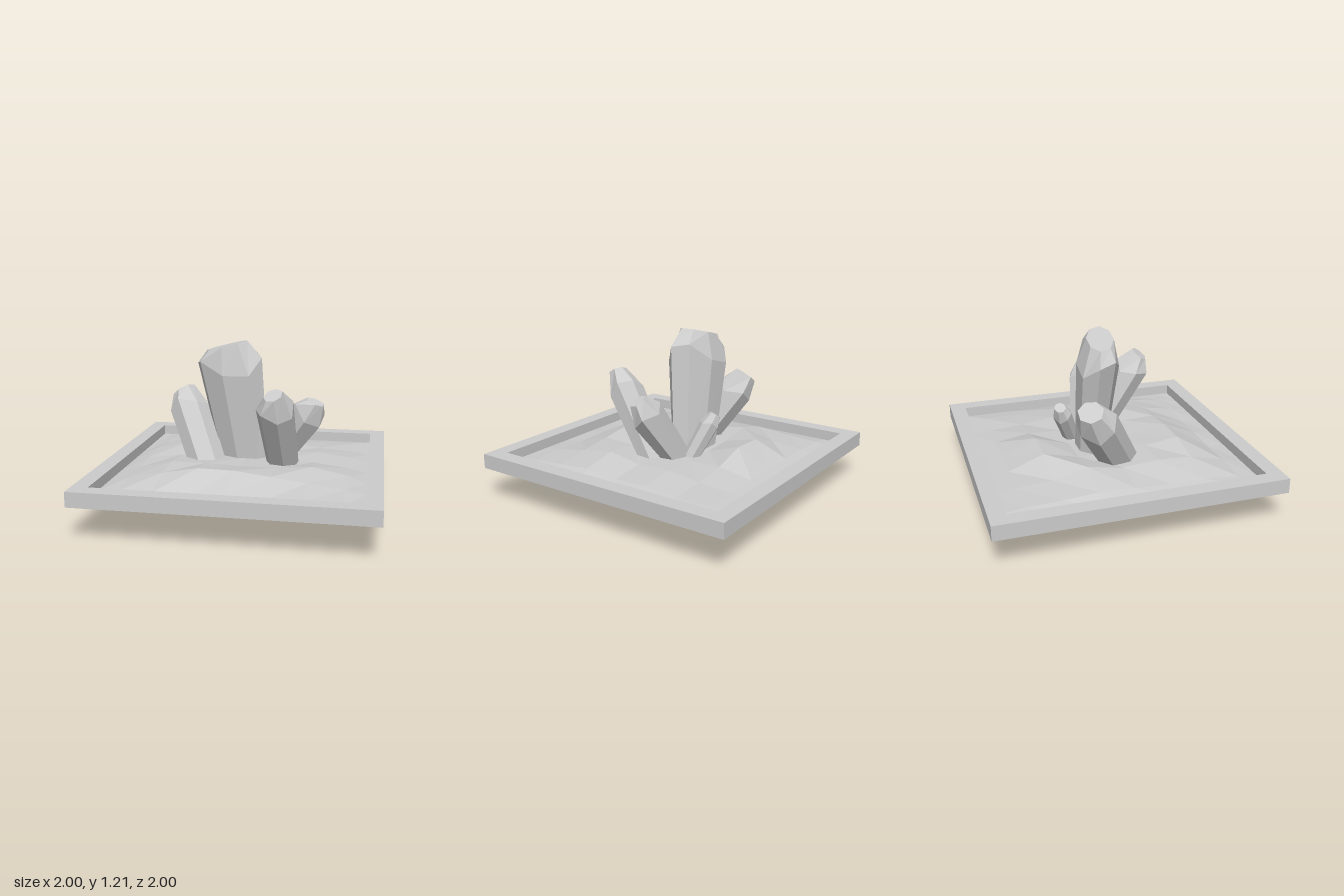
import * as THREE from 'three';

const flat = new THREE.MeshStandardMaterial({ color: 0xcccccc, flatShading: true });
const thin = new THREE.MeshStandardMaterial({ color: 0xcccccc, flatShading: true, side: THREE.DoubleSide });

const OUTER = 1, INNER = 0.885, TOP = 0.345, BOTTOM = 0.24;

function part(name, geometry, material = flat) {
  const mesh = new THREE.Mesh(geometry, material);
  mesh.name = name;
  return mesh;
}

// Four upright walls around a square
function squareWall(name, half, y0, y1) {
  const r = half * Math.SQRT2;
  const g = new THREE.CylinderGeometry(r, r, y1 - y0, 4, 1, true);
  g.rotateY(Math.PI / 4).translate(0, (y0 + y1) / 2, 0);
  return part(name, g, thin);
}

// Hollow frame, open underneath
function frame() {
  const group = new THREE.Group();
  group.name = 'frame';
  const square = (Type, s) => new Type([[-s, -s], [s, -s], [s, s], [-s, s]].map(p => new THREE.Vector2(...p)));
  const shape = square(THREE.Shape, OUTER);
  shape.holes.push(square(THREE.Path, INNER));
  const rim = new THREE.ShapeGeometry(shape).rotateX(-Math.PI / 2).translate(0, TOP, 0);
  group.add(
    part('frameTop', rim, thin),
    squareWall('frameOuterWall', OUTER, BOTTOM, TOP),
    squareWall('frameInnerWall', INNER, BOTTOM + 0.01, TOP),
  );
  return group;
}

// Faceted ground; heights in hundredths at every 0.25 units, rows from back to front
const HEIGHTS = [
  [29, 30, 30, 30, 30, 29, 29],
  [30, 32, 40, 41, 34, 31, 29],
  [32, 38, 34, 33, 33, 34, 31],
  [31, 34, 34, 34, 34, 33, 30],
  [30, 36, 36, 35, 35, 37, 32],
  [30, 35, 39.5, 39, 36, 33, 30],
  [28, 29, 28, 29, 28, 29, 28],
];

function ground() {
  const g = new THREE.PlaneGeometry(2, 2, 8, 8).rotateX(-Math.PI / 2);
  const p = g.attributes.position;
  for (let i = 0; i < p.count; i++) {
    const col = i % 9, row = Math.floor(i / 9);
    const height = HEIGHTS[row - 1]?.[col - 1] ?? 27;
    p.setXYZ(i,
      THREE.MathUtils.clamp(p.getX(i), -INNER, INNER),
      height / 100,
      THREE.MathUtils.clamp(p.getZ(i), -INNER, INNER));
  }
  return part('ground', g);
}

// Prism that widens to a shoulder, then narrows to a slanted cap
function crystal({ name, base, top, rx, rz, sides = 7, turn = 0, foot = 0.78, cap = 0.58, shoulder = 0.83, slant = 0.1 }) {
  const from = new THREE.Vector3(...base), to = new THREE.Vector3(...top);
  const length = from.distanceTo(to);
  const g = new THREE.CylinderGeometry(1, 1, 2, sides, 2);
  const p = g.attributes.position;
  for (let i = 0; i < p.count; i++) {
    const level = Math.round(p.getY(i));
    const x = p.getX(i), z = p.getZ(i);
    const s = [foot, 1, cap][level + 1];
    let y = [0, shoulder, 1][level + 1] * length;
    if (level === 0) y += 0.3 * rx * Math.cos(2 * Math.atan2(z, x) + 1);
    if (level === 1) y += slant * rx * x;
    p.setXYZ(i, x * s * rx, y, z * s * rz);
  }
  g.rotateY(turn);
  const mesh = part(name, g);
  mesh.position.copy(from);
  mesh.quaternion.setFromUnitVectors(new THREE.Vector3(0, 1, 0), to.sub(from).normalize());
  return mesh;
}

const CRYSTALS = [
  { name: 'mainCrystal', base: [-0.03, 0.27, -0.1], top: [-0.155, 1.165, -0.06], rx: 0.26, rz: 0.15, sides: 8, turn: -0.25, foot: 0.73, cap: 0.64, slant: 0.08 },
  { name: 'leftLeaningCrystal', base: [-0.18, 0.085, 0.165], top: [-0.53, 0.79, -0.24], rx: 0.15, rz: 0.14, turn: 0.7, foot: 0.88, cap: 0.6 },
  { name: 'frontCrystal', base: [0.28, 0.25, 0.0], top: [0.245, 0.89, 0.375], rx: 0.135, rz: 0.125, turn: 0.2, foot: 0.85, cap: 0.5, shoulder: 0.82 },
  { name: 'rightLeaningCrystal', base: [0.01, 0.045, -0.18], top: [0.5, 0.78, 0.0], rx: 0.14, rz: 0.1, sides: 6, turn: 0.1, foot: 0.62, cap: 0.5, shoulder: 0.87 },
  { name: 'smallCrystal', base: [0.14, 0.31, -0.19], top: [0.01, 0.62, -0.31], rx: 0.075, rz: 0.07, turn: 0.4, foot: 0.85, cap: 0.6, shoulder: 0.78 },
];

export function createModel() {
  const model = new THREE.Group();
  model.name = 'crystalDisplay';
  const panel = new THREE.PlaneGeometry(2 * INNER, 2 * INNER).rotateX(Math.PI / 2).translate(0, BOTTOM + 0.015, 0);
  const cluster = new THREE.Group();
  cluster.name = 'crystals';
  CRYSTALS.forEach(c => cluster.add(crystal(c)));
  model.add(frame(), part('bottomPanel', panel), ground(), cluster);
  return model;
}
